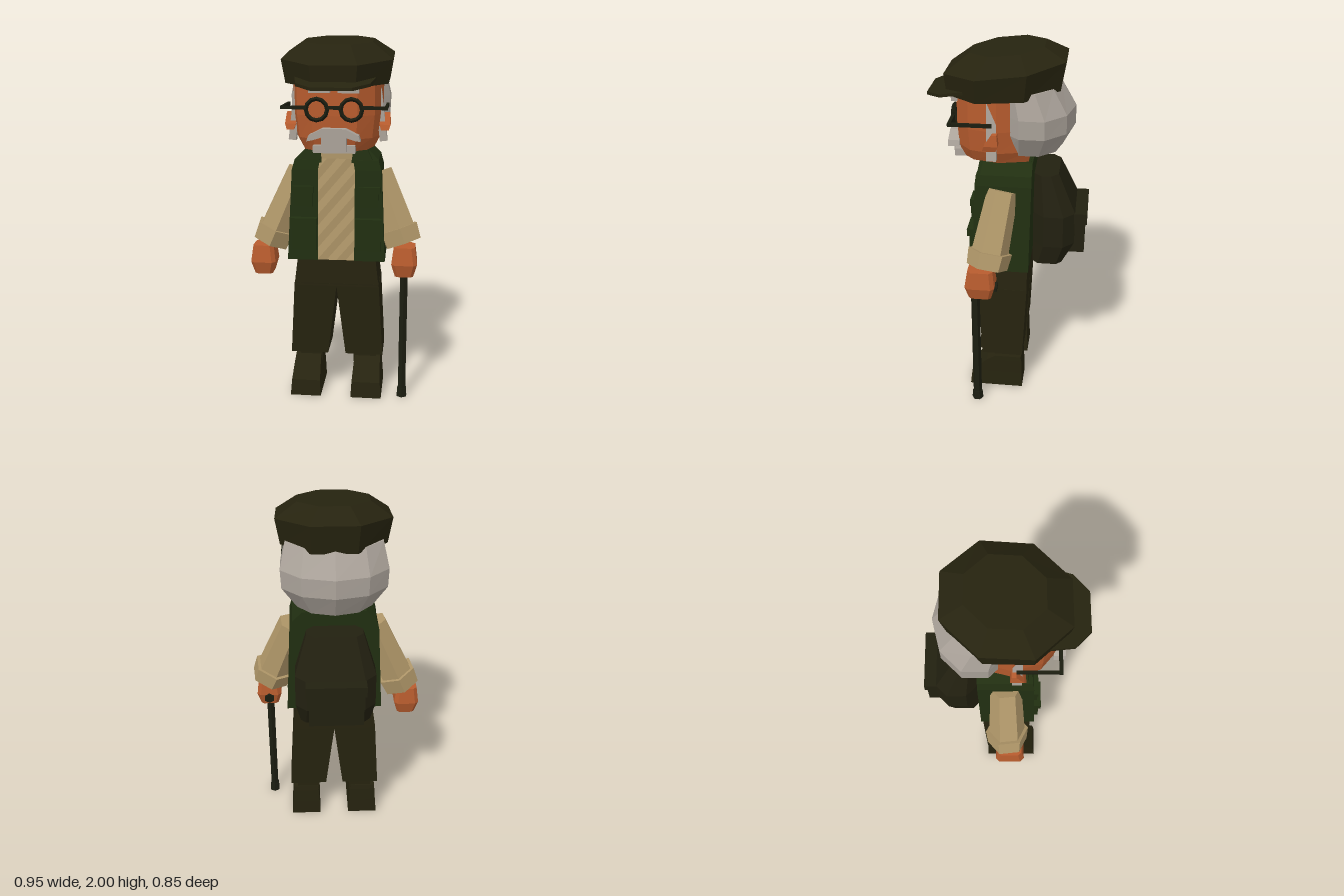
import * as THREE from 'three';

const mat = (name, color) => Object.assign(new THREE.MeshStandardMaterial({ color }), { name });

export function createModel() {
  const olive = mat('dark olive cloth', 0x26230f);
  const green = mat('green vest', 0x212f11);
  const pack = mat('pack canvas', 0x222010);
  const black = mat('dark wood and wire', 0x1b1d10);
  const skin = mat('skin', 0xb85c2e);
  const shirt = mat('tan shirt', 0xb09769);
  const grey = mat('grey hair', 0xaba39a);

  const model = new THREE.Group();
  model.name = 'oldTraveller';
  const body = new THREE.Group();
  body.name = 'figure';
  body.position.x = 0.017;
  model.add(body);

  // faceted mesh
  const add = (name, geo, material, x = 0, y = 0, z = 0) => {
    const flat = geo.index ? geo.toNonIndexed() : geo;
    flat.computeVertexNormals();
    const m = new THREE.Mesh(flat, material);
    m.name = name;
    m.position.set(x, y, z);
    body.add(m);
    return m;
  };
  const box = (name, material, w, h, d, x, y, z) => add(name, new THREE.BoxGeometry(w, h, d), material, x, y, z);

  // skin over rings of points, bottom to top, each counter-clockwise from above
  const loft = (rings) => {
    const n = rings[0].length, idx = [], last = (rings.length - 1) * n;
    for (let r = 0; r < rings.length - 1; r++)
      for (let i = 0; i < n; i++) {
        const a = r * n + i, b = r * n + (i + 1) % n;
        idx.push(a, b, b + n, a, b + n, a + n);
      }
    for (let i = 1; i < n - 1; i++) idx.push(0, i + 1, i, last, last + i, last + i + 1);
    const g = new THREE.BufferGeometry();
    g.setAttribute('position', new THREE.Float32BufferAttribute(rings.flat(2), 3));
    g.setIndex(idx);
    return g;
  };
  // elliptical ring, slope lifts the back
  const oval = (n, y, rx, rz, zc, turn = 0, slope = 0) => Array.from({ length: n }, (_, i) => {
    const a = (i + turn) / n * Math.PI * 2, z = Math.cos(a) * rz;
    return [Math.sin(a) * rx, y - z * slope, zc + z];
  });
  // rectangular ring
  const rect = (y, x0, x1, z0, z1) => [[x0, y, z1], [x1, y, z1], [x1, y, z0], [x0, y, z0]];
  // rectangular ring with cut corners
  const cut = (y, hx, z0, z1, c) => [[-hx + c, y, z1], [hx - c, y, z1], [hx, y, z1 - c], [hx, y, z0 + c],
    [hx - c, y, z0], [-hx + c, y, z0], [-hx, y, z0 + c], [-hx, y, z1 - c]];
  // tapered rod between two points
  const rod = (name, material, a, b, ra, rb, sides) => {
    const d = b.clone().sub(a);
    const m = add(name, new THREE.CylinderGeometry(rb, ra, d.length(), sides), material);
    m.position.copy(a).add(b).multiplyScalar(0.5);
    m.quaternion.setFromUnitVectors(new THREE.Vector3(0, 1, 0), d.normalize());
    return m;
  };
  const V = (x, y, z) => new THREE.Vector3(x, y, z);

  // cap and brim
  add('cap', loft([
    oval(8, 1.768, 0.295, 0.315, 0.03, 0.5, 0.07),
    oval(8, 1.9, 0.32, 0.336, 0.023, 0.5, 0.13),
    oval(8, 1.98, 0.2, 0.205, 0.015, 0.5, 0.11),
  ]), olive);
  const brim = [[-0.22, 0.18], [-0.19, 0.345], [-0.105, 0.425], [0.105, 0.425], [0.19, 0.345], [0.22, 0.18]];
  add('capBrim', loft([0, 0.016].map(h => brim.map(([x, z]) => [x, 1.79 + h - (z - 0.18) * 0.2, z]))), olive);

  // head and hair
  const face = (y, s) => [[-0.12, 0.27], [0.12, 0.27], [0.205, 0.2], [0.245, 0.05], [0.2, -0.12],
    [-0.2, -0.12], [-0.245, 0.05], [-0.205, 0.2]].map(([x, z]) => [x * s, y, z * (s + 1) / 2]);
  add('head', loft([face(1.415, 0.8), face(1.48, 0.94), face(1.6, 1), face(1.79, 1)]), skin);
  add('hair', loft([
    oval(10, 1.43, 0.13, 0.1, -0.1),
    oval(10, 1.46, 0.205, 0.165, -0.11),
    oval(10, 1.58, 0.285, 0.21, -0.13),
    oval(10, 1.68, 0.29, 0.21, -0.13),
    oval(10, 1.81, 0.26, 0.17, -0.09),
  ]), grey);
  for (const s of [-1, 1]) {
    const burn = box('sideburn', grey, 0.04, 0.3, 0.05, s * 0.23, 1.6, 0.075);
    burn.rotation.z = s * 0.12;
    add('ear', loft([rect(1.51, -0.02, 0.02, -0.01, 0.06), rect(1.54, -0.03, 0.03, -0.02, 0.05),
      rect(1.6, -0.025, 0.025, -0.015, 0.01)]), skin, s * 0.255, 0, 0.06);
    box('eyebrow', grey, 0.11, 0.03, 0.035, s * 0.075, 1.735, 0.28);
    // spectacles
    add('glassesRim', new THREE.TorusGeometry(0.055, 0.011, 4, 12), black, s * 0.09, 1.635, 0.287);
    box('glassesHinge', black, 0.135, 0.018, 0.018, s * 0.21, 1.645, 0.285);
    box('glassesArm', black, 0.014, 0.018, 0.22, s * 0.268, 1.645, 0.18);
  }
  box('glassesBridge', black, 0.07, 0.018, 0.018, 0, 1.645, 0.287);

  // moustache and beard
  const tache = new THREE.Shape([[-0.14, 1.475], [-0.11, 1.48], [-0.05, 1.5], [0.05, 1.5], [0.11, 1.48], [0.14, 1.475],
    [0.13, 1.505], [0.06, 1.54], [-0.06, 1.54], [-0.13, 1.505]].map(p => new THREE.Vector2(...p)));
  add('moustache', new THREE.ExtrudeGeometry(tache, { depth: 0.06, bevelEnabled: false }), grey, 0, 0, 0.26);
  box('goatee', grey, 0.13, 0.09, 0.07, 0, 1.465, 0.265);
  box('beard', grey, 0.22, 0.04, 0.1, 0, 1.43, 0.24);

  // torso
  add('vestBody', loft([
    rect(0.8, -0.265, 0.265, -0.12, 0.165), rect(1.3, -0.24, 0.24, -0.13, 0.145),
    rect(1.355, -0.225, 0.225, -0.13, 0.14), rect(1.41, -0.17, 0.17, -0.13, 0.13),
  ]), green);
  // crumpled shirt front
  const front = new THREE.PlaneGeometry(0.21, 0.56, 4, 9);
  const p = front.attributes.position;
  for (let i = 0; i < p.count; i++) p.setZ(i, 0.164 - p.getY(i) * 0.04 + (i % 2) * 0.006);
  add('shirtFront', front, shirt, 0, 1.08, 0);
  box('shirtCollar', shirt, 0.19, 0.06, 0.14, 0, 1.38, 0.075);
  box('neck', skin, 0.2, 0.1, 0.16, 0, 1.4, 0.02);

  for (const s of [-1, 1]) {
    const span = (a, b) => s > 0 ? [a, b] : [-b, -a];
    // vest front, collar and pockets
    add('vestFront', loft([rect(0.8, ...span(0.1, 0.267), 0.1, 0.185), rect(1.3, ...span(0.1, 0.242), 0.1, 0.168),
      rect(1.355, ...span(0.09, 0.226), 0.06, 0.162)]), green);
    add('vestCollar', loft([rect(1.34, ...span(0.08, 0.2), -0.13, 0.162),
      rect(1.412, ...span(0.09, 0.165), -0.12, 0.15)]), green);
    box('chestPocket', green, 0.1, 0.1, 0.025, s * 0.18, 1.15, 0.178);
    box('chestPocketFlap', green, 0.115, 0.035, 0.035, s * 0.18, 1.195, 0.177);
    box('lowerPocket', green, 0.135, 0.15, 0.035, s * 0.175, 0.935, 0.185);
    box('lowerPocketFlap', green, 0.145, 0.04, 0.045, s * 0.175, 1.02, 0.192);

    // trouser leg
    add('trouserLeg', loft([rect(0.235, ...span(0.05, 0.26), -0.09, 0.14),
      rect(0.66, ...span(-0.002, 0.235), -0.11, 0.165)]), olive);
    box('ankle', olive, 0.13, 0.1, 0.15, s * 0.155, 0.21, 0);
    // boot
    add('boot', loft([rect(0, ...span(0.085, 0.257), -0.09, 0.215), rect(0.09, ...span(0.09, 0.25), -0.088, 0.205),
      rect(0.17, ...span(0.095, 0.245), -0.085, 0.12), rect(0.2, ...span(0.1, 0.243), -0.08, 0.07)]), olive);
  }
  add('trouserHips', loft([rect(0.645, -0.235, 0.235, -0.11, 0.165), rect(0.81, -0.215, 0.215, -0.11, 0.16)]), olive);

  // arms and hands
  const arm = (side, a, b, hand) => {
    const at = t => a.clone().lerp(b, t);
    rod(side + 'Sleeve', shirt, a, at(0.84), 0.082, 0.1, 6);
    rod(side + 'Cuff', shirt, at(0.79), b, 0.118, 0.11, 6);
    add(side + 'Hand', loft([cut(-0.08, 0.05, -0.06, 0.06, 0.015), cut(-0.01, 0.07, -0.08, 0.08, 0.02),
      cut(0.085, 0.058, -0.07, 0.065, 0.02)]), skin, hand.x, hand.y, hand.z);
  };
  arm('right', V(-0.215, 1.27, 0.02), V(-0.39, 0.86, 0.03), V(-0.422, 0.765, 0.045));
  arm('left', V(0.22, 1.27, 0.02), V(0.365, 0.885, 0.09), V(0.373, 0.795, 0.125));

  // walking stick
  add('caneShaft', new THREE.CylinderGeometry(0.024, 0.024, 0.76, 6), black, 0.373, 0.39, 0.155);
  add('caneTip', new THREE.CylinderGeometry(0.028, 0.032, 0.05, 6), black, 0.373, 0.025, 0.155);
  rod('caneHandle', black, V(0.373, 0.78, 0.17), V(0.373, 0.765, 0.035), 0.026, 0.03, 6);

  // backpack
  add('backpack', loft([
    cut(0.82, 0.19, -0.295, -0.135, 0.03), cut(0.94, 0.215, -0.36, -0.135, 0.06),
    cut(1.12, 0.215, -0.36, -0.135, 0.06), cut(1.33, 0.15, -0.265, -0.135, 0.04),
  ]), pack);
  box('backpackPocket', pack, 0.29, 0.2, 0.1, 0, 0.98, -0.365);
  box('backpackPocketFlap', pack, 0.32, 0.06, 0.105, 0, 1.09, -0.373);

  return model;
}
